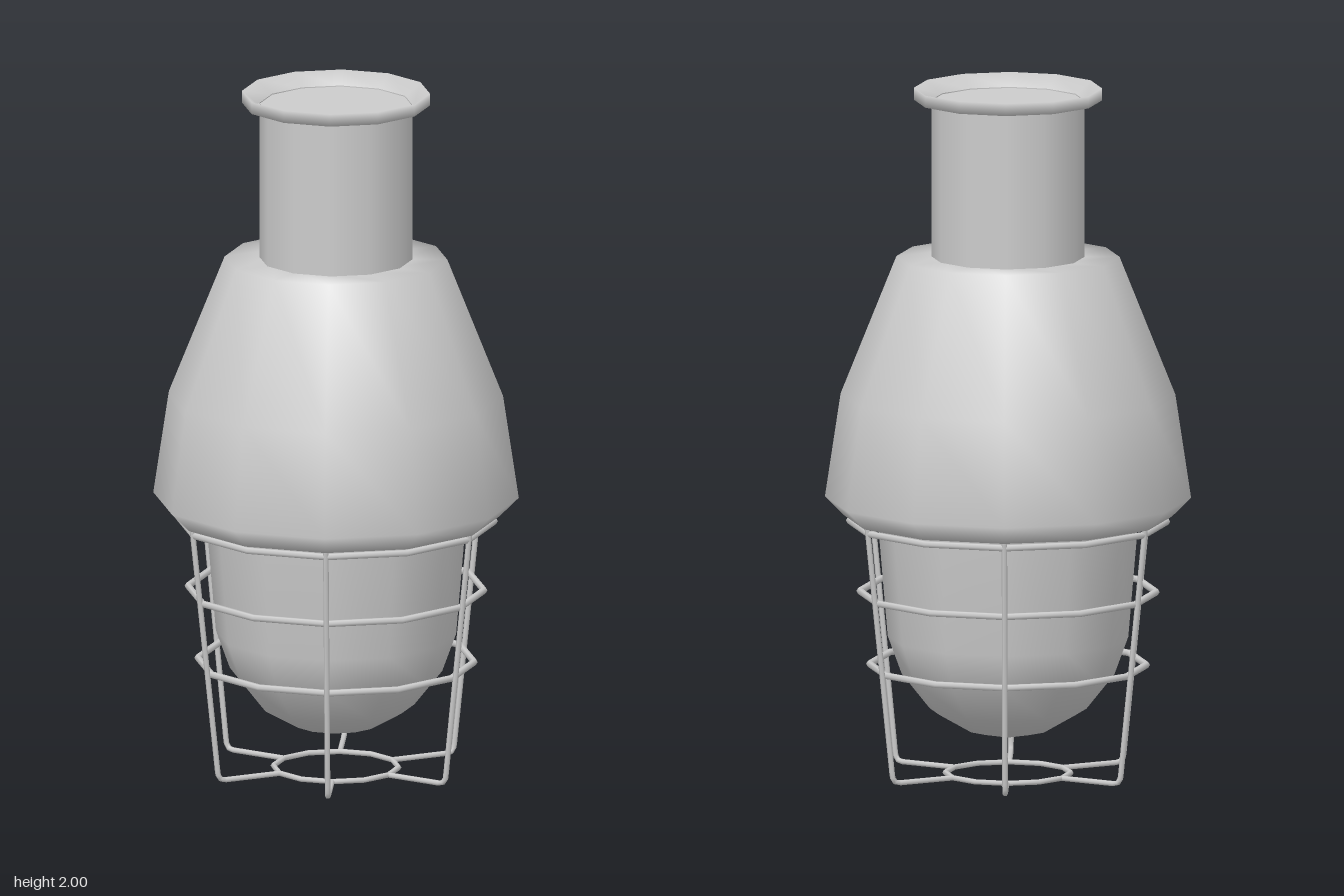
import * as THREE from 'three';

const SIDES = 12;
const material = new THREE.MeshStandardMaterial({ color: 0xcccccc, side: THREE.DoubleSide });

function addMesh(parent, name, geometry) {
  const mesh = new THREE.Mesh(geometry, material);
  mesh.name = name;
  parent.add(mesh);
  return mesh;
}

// Twelve-sided turned part; profile runs from bottom to top as [radius, height]
function turned(parent, name, profile) {
  const points = profile.map(([r, y]) => new THREE.Vector2(r, y));
  return addMesh(parent, name, new THREE.LatheGeometry(points, SIDES));
}

function wireRing(parent, name, radius, y, thickness) {
  const ring = addMesh(parent, name, new THREE.TorusGeometry(radius, thickness, 6, SIDES));
  ring.rotation.x = Math.PI / 2;
  ring.position.y = y;
}

export function createModel() {
  const lamp = new THREE.Group();
  lamp.name = 'cagedLamp';

  // Glass dome hanging below the housing
  turned(lamp, 'glassDome', [
    [0, 0.11], [0.12, 0.135], [0.225, 0.195], [0.305, 0.295],
    [0.345, 0.405], [0.375, 0.76],
  ]);

  // Flared housing with a bevelled lower rim and a flat shoulder
  turned(lamp, 'housing', [
    [0.36, 0.755], [0.47, 0.755], [0.525, 0.81], [0.48, 1.11], [0.32, 1.51], [0.2, 1.51],
  ]);

  // Neck and the flange with its shallow dished top
  turned(lamp, 'neck', [[0.22, 1.5], [0.22, 1.965]]);
  turned(lamp, 'flange', [[0.215, 1.96], [0.27, 1.965], [0.27, 2], [0.225, 1.962]]);
  const cap = addMesh(lamp, 'neckCap', new THREE.CircleGeometry(0.225, SIDES));
  cap.rotation.x = -Math.PI / 2;
  cap.position.y = 1.962;

  // Wire cage: hoops
  const cage = new THREE.Group();
  cage.name = 'cage';
  lamp.add(cage);
  wireRing(cage, 'upperHoop', 0.455, 0.74, 0.01);
  wireRing(cage, 'middleHoop', 0.425, 0.535, 0.01);
  wireRing(cage, 'lowerHoop', 0.397, 0.323, 0.01);
  wireRing(cage, 'bottomHoop', 0.18, 0.008, 0.008);

  // Wire cage: six bent bars running in to the bottom hoop
  const v = (x, y) => new THREE.Vector3(x, y, 0);
  const path = new THREE.CurvePath();
  path.add(new THREE.LineCurve3(v(0.46, 0.76), v(0.378, 0.03)));
  path.add(new THREE.QuadraticBezierCurve3(v(0.378, 0.03), v(0.375, 0.008), v(0.355, 0.008)));
  path.add(new THREE.LineCurve3(v(0.355, 0.008), v(0.18, 0.008)));
  const barGeometry = new THREE.TubeGeometry(path, 60, 0.008, 6);
  for (let i = 0; i < 6; i++) {
    addMesh(cage, 'cageBar', barGeometry).rotation.y = (i * Math.PI) / 3;
  }

  return lamp;
}
